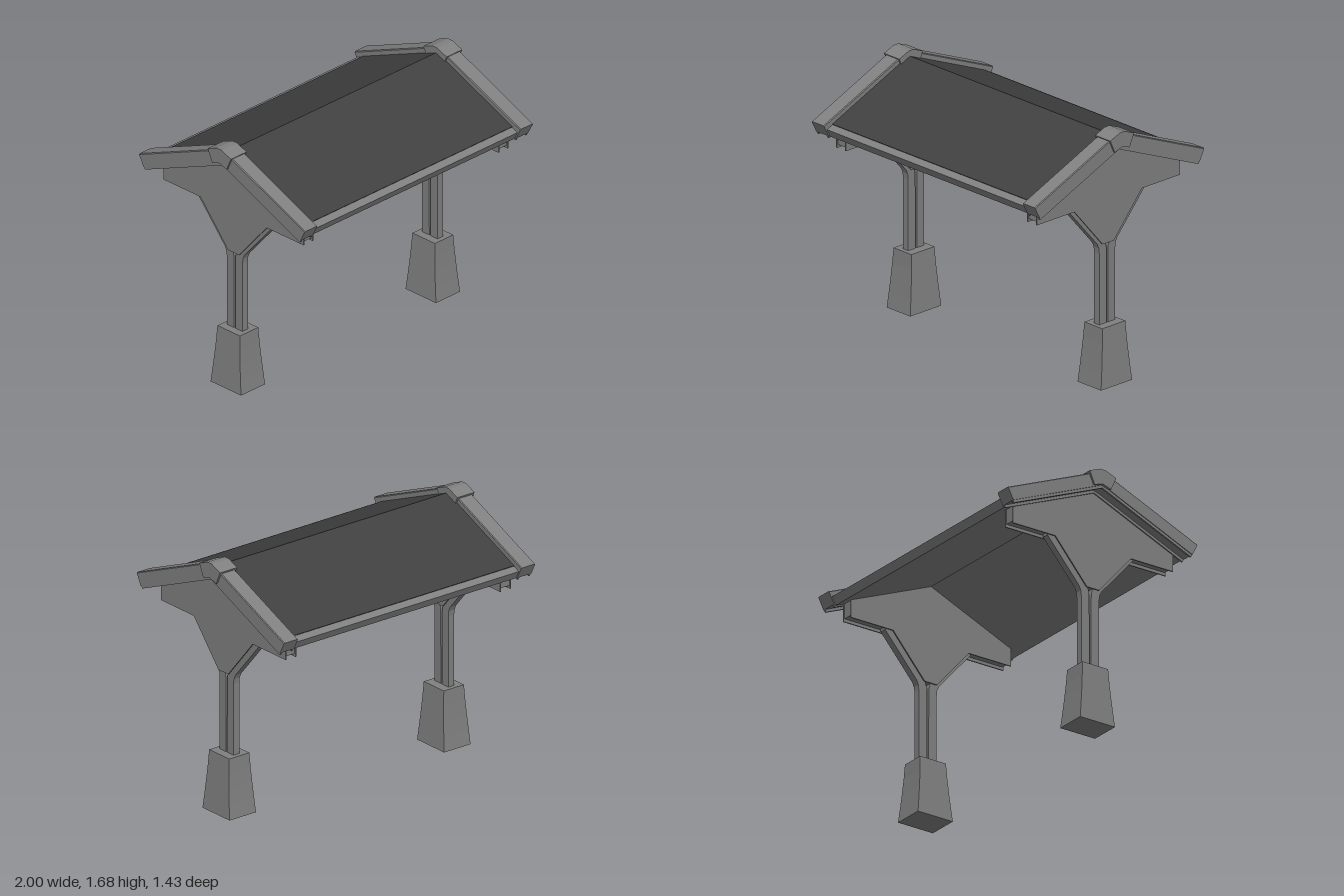
import * as THREE from 'three';

const SLOPE = 0.422;

const shapeOf = (pts) => new THREE.Shape(pts.map(([a, b]) => new THREE.Vector2(a, b)));

// Side profile given as [z, y], extruded along x and centred on x = 0
function sideExtrude(pts, width) {
  const geo = new THREE.ExtrudeGeometry(shapeOf(pts), { depth: width, bevelEnabled: false });
  geo.translate(0, 0, -width / 2);
  geo.rotateY(-Math.PI / 2);
  // the turn sends the profile's first axis to +z
  return geo;
}

// Cross-section given as [x, y], run from the ridge down one pitch, eave end cut square to the slope
function pitchExtrude(pts, length, ridgeY) {
  const geo = new THREE.ExtrudeGeometry(shapeOf(pts), { depth: length, bevelEnabled: false });
  const p = geo.attributes.position;
  for (let i = 0; i < p.count; i++) {
    let z = p.getZ(i);
    if (z > length / 2) z += SLOPE * p.getY(i);
    p.setZ(i, z);
    p.setY(i, ridgeY + p.getY(i) - SLOPE * z);
  }
  geo.computeVertexNormals();
  return geo;
}

const mirrored = (half) => [...half, ...half.slice().reverse().map(([a, b]) => [-a, b])];

export function createModel() {
  const model = new THREE.Group();
  const grey = new THREE.MeshStandardMaterial({ color: 0x808080 });
  grey.name = 'mid grey';
  const dark = new THREE.MeshStandardMaterial({ color: 0x404040 });
  dark.name = 'dark roof grey';

  const add = (parent, name, geo, mat, x = 0, z = 0) => {
    const mesh = new THREE.Mesh(geo, mat);
    mesh.name = name;
    mesh.position.set(x, 0, z);
    parent.add(mesh);
    return mesh;
  };

  // Roof slab and its dark covering, one pitch each way
  const rect = (w, h) => [[-w, 0], [-w, -h], [w, -h], [w, 0]];
  const slab = pitchExtrude(rect(0.88, 0.064), 0.69, 1.635);
  const cover = pitchExtrude(rect(0.88, 0.007), 0.645, 1.64);
  for (const turn of [0, Math.PI]) {
    add(model, 'roofSlab', slab, grey).rotation.y = turn;
    add(model, 'roofCovering', cover, dark).rotation.y = turn;
  }

  // Verge cap section: lightly chamfered top with two lips below
  const verge = pitchExtrude(mirrored([
    [0.05, 0], [0.055, -0.006], [0.055, -0.095], [0.05, -0.095],
    [0.05, -0.114], [0.038, -0.114], [0.038, -0.095],
  ]), 0.715, 1.676);

  const ridge = sideExtrude([
    [-0.1, 1.645], [-0.02, 1.677], [0.02, 1.677], [0.1, 1.645],
    [0.062, 1.56], [0, 1.58], [-0.062, 1.56],
  ], 0.135);

  // Gable bracket: two outer plates around a recessed core
  const plate = sideExtrude(mirrored([
    [0.047, 0.922], [0.285, 1.2], [0.603, 1.2], [0.603, 1.325], [0.01, 1.575],
  ]), 0.008);
  const core = sideExtrude(mirrored([
    [0.035, 0.93], [0.275, 1.22], [0.596, 1.22], [0.596, 1.325], [0.01, 1.575],
  ]), 0.07);

  // Post halves that splay outward along the lower edges of the bracket
  const half = [
    [0.005, 0.36], [0.067, 0.36], [0.067, 0.86], [0.071, 0.895], [0.084, 0.925],
    [0.322, 1.2], [0.322, 1.225], [0.262, 1.225], [0.022, 0.94], [0.008, 0.89],
  ];
  const posts = [1, -1].map((s) => sideExtrude(half.map(([z, y]) => [s * z, y]), 0.046));

  // Tapered footing with a slight flare at the bottom
  const footing = new THREE.BoxGeometry(2, 0.39, 2, 1, 4, 1).toNonIndexed();
  const p = footing.attributes.position;
  for (let i = 0; i < p.count; i++) {
    const t = p.getY(i) / 0.39 + 0.5;
    const flare = (1 - t) ** 1.35;
    p.setXYZ(i, p.getX(i) * (0.079 + 0.025 * (1 - t)), t * 0.39, p.getZ(i) * (0.097 + 0.034 * flare));
  }
  footing.computeVertexNormals();

  // Supports and ridge caps sit slightly behind the centre line
  const BACK = -0.009;
  for (const side of [1, -1]) {
    const end = new THREE.Group();
    end.name = side > 0 ? 'leftEnd' : 'rightEnd';
    add(end, 'footing', footing, grey, side * 0.843 + 0.003, BACK);
    posts.forEach((g) => add(end, 'postHalf', g, grey, side * 0.844, BACK));
    add(end, 'bracketCore', core, grey, side * 0.843);
    for (const x of [0.804, 0.882]) add(end, 'gablePlate', plate, grey, side * x);
    for (const turn of [0, Math.PI]) add(end, 'vergeCap', verge, grey, side * 0.932).rotation.y = turn;
    add(end, 'ridgeCap', ridge, grey, side * 0.9325, BACK);
    model.add(end);
  }
  return model;
}
